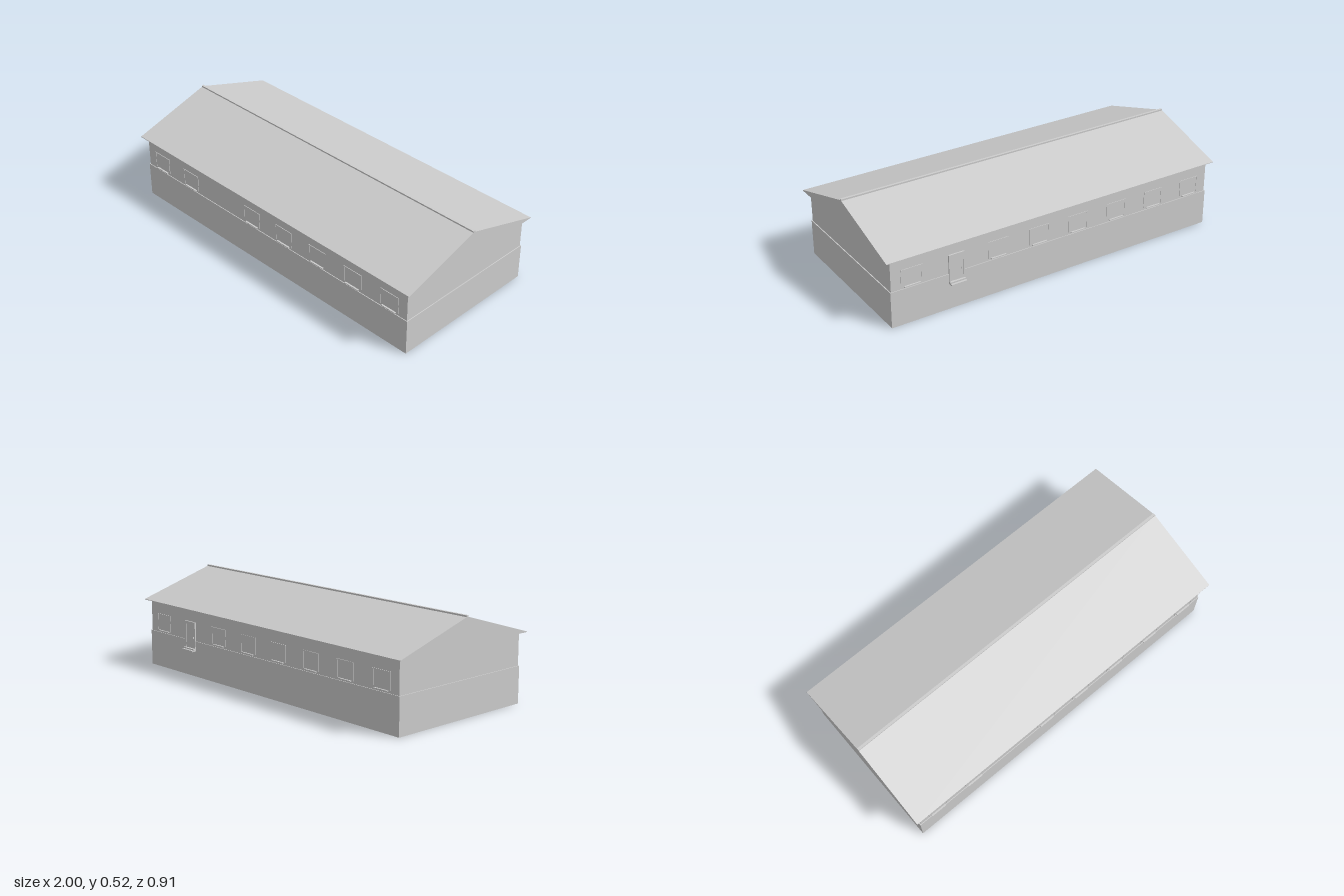
import * as THREE from 'three';

export function createModel() {
  const model = new THREE.Group();
  model.name = 'longHouse';
  const grey = new THREE.MeshStandardMaterial({ color: 0xcccccc });
  grey.name = 'light grey';
  const cz = 0.002; // centre line of the building

  // Box given by its limits on each axis
  function box(name, x0, x1, y0, y1, z0, z1, parent = model) {
    const mesh = new THREE.Mesh(new THREE.BoxGeometry(x1 - x0, y1 - y0, z1 - z0), grey);
    mesh.position.set((x0 + x1) / 2, (y0 + y1) / 2, (z0 + z1) / 2);
    mesh.name = name;
    parent.add(mesh);
    return mesh;
  }

  // Walls: slightly wider base below, inset upper storey above
  box('baseWall', -0.975, 0.975, 0, 0.197, cz - 0.432, cz + 0.432);
  box('upperWall', -0.97, 0.97, 0.197, 0.373, cz - 0.428, cz + 0.428);

  // Gabled roof with a thin eave edge and closed ends
  const section = new THREE.Shape();
  section.moveTo(-0.455, 0.371);
  section.lineTo(0.455, 0.371);
  section.lineTo(0.455, 0.374);
  section.lineTo(0, 0.514);
  section.lineTo(-0.455, 0.374);
  section.closePath();
  const roofGeometry = new THREE.ExtrudeGeometry(section, { depth: 2, bevelEnabled: false });
  roofGeometry.translate(0, 0, -1);
  roofGeometry.rotateY(Math.PI / 2);
  const roof = new THREE.Mesh(roofGeometry, grey);
  roof.position.z = cz;
  roof.name = 'roof';
  model.add(roof);
  box('ridgeCap', -1, 1, 0.508, 0.52, cz - 0.007, cz + 0.007);

  // Window: frame bars, pane and sill, built facing +z on the wall plane
  function addWindow(x, side) {
    const win = new THREE.Group();
    win.name = side > 0 ? 'frontWindow' : 'backWindow';
    box('windowPane', -0.055, 0.055, 0.21, 0.297, -0.004, 0.001, win);
    for (const s of [-1, 1]) box('windowJamb', s * 0.057 - 0.003, s * 0.057 + 0.003, 0.21, 0.302, -0.004, 0.003, win);
    box('windowHead', -0.054, 0.054, 0.297, 0.302, -0.004, 0.003, win);
    box('windowSill', -0.044, 0.044, 0.205, 0.21, -0.004, 0.01, win);
    win.position.set(x, 0, cz + side * 0.428);
    if (side < 0) win.rotation.y = Math.PI;
    model.add(win);
  }
  const bays = [-0.855, -0.61, -0.365, -0.12, 0.12, 0.365, 0.61, 0.855];
  bays.forEach((x, i) => {
    if (i !== 2) addWindow(x, 1);
    if (i !== 6) addWindow(x, -1);
  });

  // Back door with frame, handle and two shallow steps
  const door = new THREE.Group();
  door.name = 'backDoor';
  box('doorLeaf', -0.036, 0.036, 0.155, 0.295, -0.005, 0.005, door);
  for (const s of [-1, 1]) box('doorJamb', s * 0.04 - 0.004, s * 0.04 + 0.004, 0.155, 0.302, -0.005, 0.008, door);
  box('doorHead', -0.036, 0.036, 0.295, 0.302, -0.005, 0.008, door);
  box('doorHandle', 0.024, 0.03, 0.209, 0.219, 0.004, 0.01, door);
  box('upperStep', -0.044, 0.044, 0.148, 0.155, -0.005, 0.018, door);
  box('lowerStep', -0.044, 0.044, 0.141, 0.148, -0.005, 0.03, door);
  door.position.set(0.608, 0, cz - 0.428);
  door.rotation.y = Math.PI;
  model.add(door);

  return model;
}
